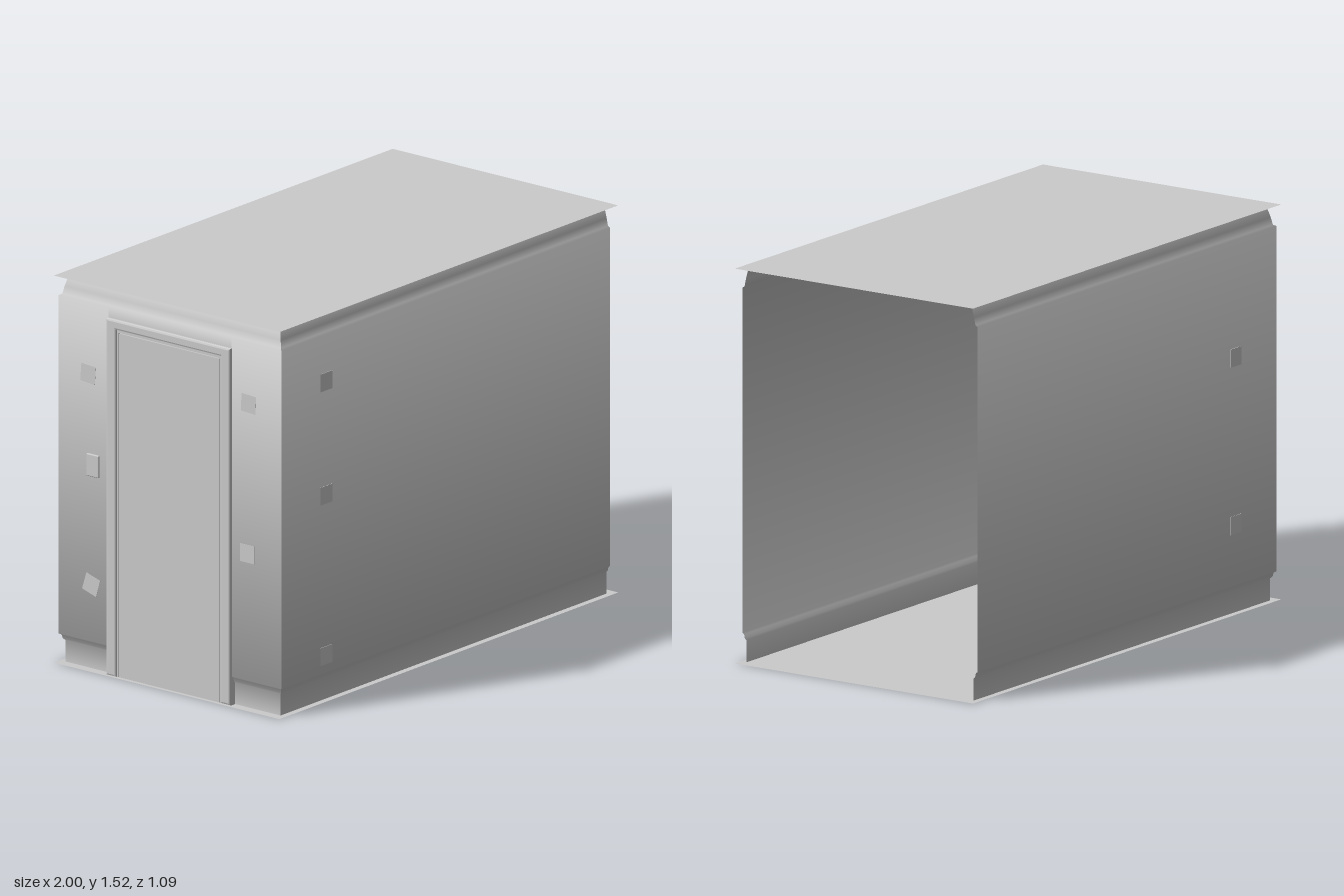
import * as THREE from 'three';
import { mergeGeometries } from 'three/addons/utils/BufferGeometryUtils.js';
import { RoundedBoxGeometry } from 'three/addons/geometries/RoundedBoxGeometry.js';

const mat = new THREE.MeshStandardMaterial({ color: 0xcccccc });
const thin = new THREE.MeshStandardMaterial({ color: 0xcccccc, side: THREE.DoubleSide });
const END = -0.98, OPEN = 0.96, SIDE = 0.538, TOP = 1.52;

function add(parent, name, geo, x = 0, y = 0, z = 0, material = mat) {
  const m = new THREE.Mesh(geo, material);
  m.name = name;
  m.position.set(x, y, z);
  parent.add(m);
  return m;
}

function group(parent, name, x = 0, y = 0, z = 0, turn = 0, tilt = 0) {
  const g = new THREE.Group();
  g.name = name;
  g.position.set(x, y, z);
  g.rotation.set(0, turn, tilt, 'YXZ');
  parent.add(g);
  return g;
}

// Wall section: [distance into the room, height], with baseboard and crown
const wallProfile = [[0.018, 0], [0.018, 0.085], [0.011, 0.092], [0.008, 0.106], [0, 0.112],
  [0, 1.44], [0.01, 1.446], [0.016, 1.475], [0.024, 1.505], [0.036, TOP]];

// Sweep a section between two ends; start/end give [x, z], inward is the room direction
function wallSheet(profile, start, end, inward) {
  const slopes = profile.slice(1).map(([d, y], i) =>
    new THREE.Vector2(y - profile[i][1], -(d - profile[i][0])).normalize());
  const pos = [], nor = [], idx = [];
  profile.forEach(([d, y], i) => {
    const n = (slopes[i - 1] || slopes[i]).clone().add(slopes[i] || slopes[i - 1]).normalize();
    for (const f of [start, end]) {
      const [x, z] = f(d);
      pos.push(x, y, z);
      nor.push(inward[0] * n.x, n.y, inward[1] * n.x);
    }
    if (i) {
      const a = 2 * i - 2;
      idx.push(a, a + 1, a + 2, a + 1, a + 3, a + 2);
    }
  });
  const g = new THREE.BufferGeometry();
  g.setAttribute('position', new THREE.Float32BufferAttribute(pos, 3));
  g.setAttribute('normal', new THREE.Float32BufferAttribute(nor, 3));
  g.setIndex(idx);
  return g;
}

const toPoints = list => list.map(p => new THREE.Vector2(...p));
const rect = (C, w, y0, y1) => new C(toPoints([[-w, y0], [w, y0], [w, y1], [-w, y1]]));

// Upside-down U around the doorway
function doorFrame(ow, oh, iw, ih, depth, bevel) {
  const s = new THREE.Shape(toPoints([[-ow, 0], [-iw, 0], [-iw, ih], [iw, ih], [iw, 0], [ow, 0], [ow, oh], [-ow, oh]]));
  return new THREE.ExtrudeGeometry(s, { depth, bevelEnabled: bevel > 0, bevelSize: bevel, bevelOffset: -bevel,
    bevelThickness: bevel, bevelSegments: 2 });
}

// Riveted plate with a U-shaped loop standing out along its local z
function anchor(parent, { x, y, z, turn, tilt }) {
  const g = group(parent, 'chainAnchor', x, y, z, turn, tilt);
  add(g, 'anchorPlate', new THREE.BoxGeometry(0.07, 0.07, 0.012));
  const loop = new THREE.TorusGeometry(0.018, 0.0055, 6, 12, Math.PI);
  add(g, 'anchorLoop', loop.scale(1, 2.3, 1).rotateX(Math.PI / 2).rotateZ(Math.PI / 2), 0, 0, 0.004);
  for (const sx of [-1, 1]) for (const sy of [-1, 0, 1])
    add(g, 'rivet', new THREE.SphereGeometry(0.005, 8, 6), sx * 0.026, sy * 0.026, 0.006);
}

// Straight-sided link lying along x
const link = new THREE.TorusGeometry(0.0095, 0.0038, 5, 14);
const lp = link.attributes.position;
for (let i = 0; i < lp.count; i++) lp.setX(i, lp.getX(i) + Math.sign(lp.getX(i)) * 0.0075);

// Chain hanging between two points
function chain(parent, a, b, sag) {
  const mid = a.clone().lerp(b, 0.5);
  mid.y -= 2 * sag;
  const curve = new THREE.QuadraticBezierCurve3(a, mid, b);
  const n = Math.round(curve.getLength() / 0.029);
  const links = [];
  for (let i = 0; i <= n; i++) {
    const t = curve.getTangentAt(i / n);
    const side = new THREE.Vector3(1, 0, 0).cross(t).normalize();
    const m = new THREE.Matrix4().makeBasis(t, side, t.clone().cross(side));
    m.multiply(new THREE.Matrix4().makeRotationX(Math.PI / 4 + (i % 2) * Math.PI / 2));
    m.setPosition(curve.getPointAt(i / n));
    links.push(link.clone().applyMatrix4(m));
  }
  add(parent, 'chain', mergeGeometries(links));
}

function padlock(parent, y, z, tilt) {
  const g = group(parent, 'padlock', -0.925, y, z, Math.PI / 2, tilt);
  add(g, 'padlockBody', new RoundedBoxGeometry(0.038, 0.036, 0.018, 2, 0.004));
  add(g, 'padlockShackle', new THREE.TorusGeometry(0.012, 0.0035, 6, 12, Math.PI).scale(1, 1.6, 1), 0, 0.017, 0);
}

export function createModel() {
  const root = new THREE.Group();
  root.name = 'chainedDoorHallway';

  // Floor and ceiling
  const slab = new THREE.PlaneGeometry(2, 1.09);
  add(root, 'floor', slab.clone().rotateX(-Math.PI / 2), 0, 0, 0, thin);
  add(root, 'ceiling', slab.clone().rotateX(Math.PI / 2), 0, TOP, 0, thin);

  // Side walls, mitred into the end wall, which leaves room for the doorway
  const walls = group(root, 'walls');
  const wall = (name, profile, start, end, inward) =>
    add(walls, name, wallSheet(profile, start, end, inward), 0, 0, 0, thin);
  const frontCorner = d => [END + d, SIDE - d], backCorner = d => [END + d, -SIDE + d];
  const jamb = z => d => [END + d, z];
  wall('backWall', wallProfile, backCorner, d => [OPEN, -SIDE + d], [0, 1]);
  wall('frontWall', wallProfile, d => [OPEN, SIDE - d], frontCorner, [0, -1]);
  wall('endWall', wallProfile, frontCorner, jamb(0.298), [1, 0]);
  wall('endWall', wallProfile, jamb(-0.298), backCorner, [1, 0]);
  wall('endWallOverDoor', [[0, 1.39], ...wallProfile.slice(5)], jamb(0.298), jamb(-0.298), [1, 0]);

  // Door: local x runs towards -z, local z into the room
  const door = group(root, 'door', END - 0.005, 0, 0, Math.PI / 2);
  add(door, 'casing', doorFrame(0.3, 1.402, 0.252, 1.363, 0.028, 0.008));
  add(door, 'doorStop', doorFrame(0.2525, 1.3635, 0.245, 1.353, 0.022, 0));
  add(door, 'doorCore', new THREE.BoxGeometry(0.484, 1.35, 0.01), 0, 0.675, 0.006);
  const face = rect(THREE.Shape, 0.242, 0, 1.35);
  for (const [y0, y1] of [[0.2, 0.61], [0.7, 1.25]]) {
    face.holes.push(rect(THREE.Path, 0.15, y0, y1));
    add(door, 'raisedPanel', new THREE.ExtrudeGeometry(rect(THREE.Shape, 0.118, y0 + 0.032, y1 - 0.032),
      { depth: 0.001, bevelSize: 0.025, bevelThickness: 0.006, bevelSegments: 1 }), 0, 0, 0.011);
  }
  add(door, 'doorFace', new THREE.ExtrudeGeometry(face, { depth: 0.009, bevelEnabled: false }), 0, 0, 0.011);

  // Door fittings
  const disc = (r, h) => new THREE.CylinderGeometry(r, r, h, 20).rotateX(Math.PI / 2);
  add(door, 'peephole', disc(0.011, 0.008), -0.002, 1.027, 0.022);
  add(door, 'knobRose', disc(0.021, 0.008), 0.205, 0.63, 0.022);
  add(door, 'knobStem', disc(0.008, 0.03), 0.205, 0.63, 0.035);
  add(door, 'knob', new THREE.SphereGeometry(0.02, 20, 12).scale(1, 1, 0.75), 0.205, 0.63, 0.05);
  add(door, 'latchPlate', new RoundedBoxGeometry(0.056, 0.022, 0.008, 2, 0.003), 0.212, 1.017, 0.023);
  add(door, 'latchBolt', new THREE.CylinderGeometry(0.006, 0.006, 0.05, 10).rotateZ(Math.PI / 2), 0.212, 1.017, 0.03);

  // Wall socket
  const socket = group(root, 'wallSocket', END, 0.805, -0.37, Math.PI / 2);
  add(socket, 'socketPlate', new RoundedBoxGeometry(0.06, 0.088, 0.014, 2, 0.004));
  for (const y of [-0.02, 0.02]) {
    add(socket, 'outlet', new RoundedBoxGeometry(0.03, 0.026, 0.006, 2, 0.002), 0, y, 0.007);
    for (const x of [-0.006, 0.006]) add(socket, 'outletSlot', new THREE.BoxGeometry(0.003, 0.01, 0.003), x, y, 0.01);
  }

  // Ceiling lamp
  const lamp = [[0, -0.036], [0.03, -0.033], [0.06, -0.024], [0.082, -0.012], [0.086, -0.008], [0.095, -0.008], [0.095, 0]];
  add(root, 'ceilingLamp', new THREE.LatheGeometry(toPoints(lamp), 32), -0.1, TOP, 0.008, thin);

  // Anchors: on the end wall and door, then on the front and back walls
  const onEnd = (z, y, tilt, x = END + 0.005) => ({ x, y, z, turn: Math.PI / 2, tilt, hook: new THREE.Vector3(-0.93, y - 0.01, z) });
  const onDoor = (z, y, tilt) => onEnd(z, y, tilt, -0.962);
  const onSide = (s, y) => ({ x: -0.715, y, z: s * (SIDE - 0.004), turn: s > 0 ? Math.PI : 0, tilt: 0,
    hook: new THREE.Vector3(-0.715, y - 0.005, s * 0.5) });
  const at = {
    topLeft: onEnd(0.38, 1.2, 0.05), topMid: onDoor(-0.065, 1.135, 0.12), topRight: onEnd(-0.395, 1.16, 0.08),
    upper: onDoor(0.19, 0.985, -0.15), centre: onDoor(-0.07, 0.815, 0.3), midLeft: onEnd(0.375, 0.61, 0),
    lower: onDoor(0.075, 0.345, 0), lowRight: onEnd(-0.38, 0.335, 0.3),
    frontHigh: onSide(1, 1.255), frontMid: onSide(1, 0.81), frontLow: onSide(1, 0.18),
    backMid: onSide(-1, 0.99), backLow: onSide(-1, 0.345),
  };
  for (const a of Object.values(at)) anchor(root, a);

  // Chains strung between anchors, with their sag
  const chains = group(root, 'chains');
  const runs = [
    ['topLeft', 'topMid', 0.042], ['topMid', 'topRight', 0.025], ['topLeft', 'upper', 0.04],
    ['upper', 'lowRight', 0], ['topRight', 'centre', 0.045], ['centre', 'midLeft', 0.02],
    ['midLeft', 'lower', 0.05], ['lower', 'lowRight', 0.026],
    ['frontMid', 'upper', 0.04], ['frontMid', 'upper', 0.07],
    ['frontLow', 'lower', 0.008], ['frontLow', 'lower', 0.035],
    ['backMid', 'centre', 0.025], ['backMid', 'centre', 0.05],
  ];
  for (const [from, to, sag] of runs) chain(chains, at[from].hook, at[to].hook, sag);

  // Loose ends hanging straight down: x, top, z, length
  const loose = [[-0.915, 0.65, -0.107, 0.63], [-0.91, 0.78, -0.135, 0.36], [-0.735, 0.175, 0.485, 0.075],
    [-0.8, 0.78, 0.362, 0.06], [-0.91, 0.79, 0.388, 0.19]];
  for (const [x, y, z, len] of loose)
    chain(chains, new THREE.Vector3(x, y, z), new THREE.Vector3(x, y - len, z - 0.004), 0);
  // Last links lying on the floor
  chain(chains, new THREE.Vector3(-0.91, 0.016, -0.11), new THREE.Vector3(-0.87, 0.012, -0.135), 0);

  // Padlocks
  for (const [y, z, tilt] of [[0.78, 0.345, 0.5], [0.73, -0.155, 0.2], [0.655, -0.14, -0.4]]) padlock(root, y, z, tilt);

  return root;
}
